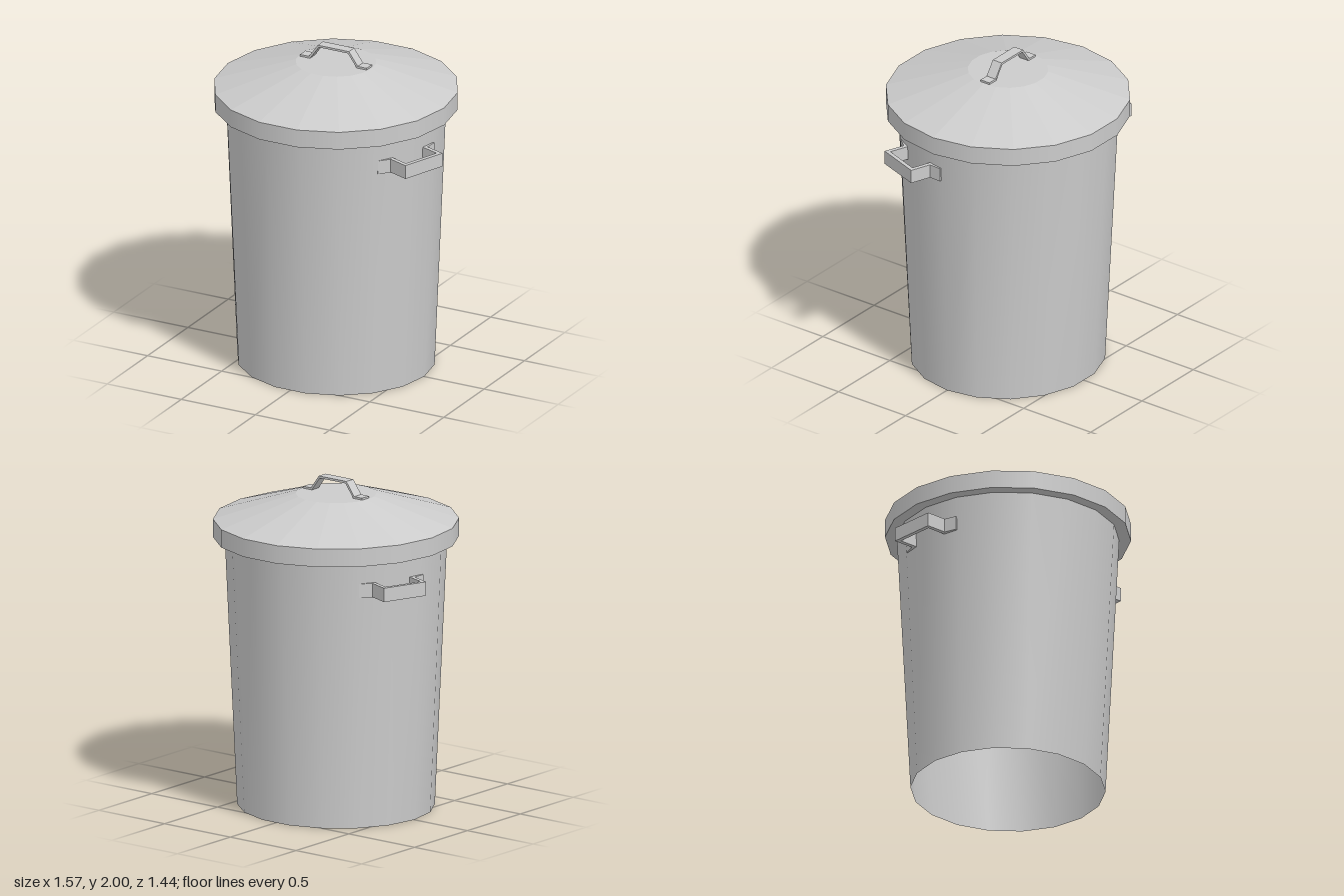
import * as THREE from 'three';

const SIDES = 18;
const grey = new THREE.MeshStandardMaterial({ color: 0xcccccc, side: THREE.DoubleSide });
const greyFlat = new THREE.MeshStandardMaterial({ color: 0xcccccc, flatShading: true });

function part(name, geometry, material, parent) {
  const mesh = new THREE.Mesh(geometry, material);
  mesh.name = name;
  parent.add(mesh);
  return mesh;
}

// Ring of SIDES panels between two heights, with a corner on the x axis
function drum(rTop, rBottom, yBottom, yTop, open) {
  const g = new THREE.CylinderGeometry(rTop, rBottom, yTop - yBottom, SIDES, 1, open, Math.PI / 2);
  return g.translate(0, (yTop + yBottom) / 2, 0);
}

// Bent metal strip: outer edge given as points, thickened to its right, then extruded
function strap(coords, thickness, width) {
  const pts = coords.map(([x, y]) => new THREE.Vector2(x, y));
  const normal = (a, b) => {
    const d = b.clone().sub(a).normalize();
    return new THREE.Vector2(d.y, -d.x);
  };
  const inner = pts.map((p, i) => {
    const n1 = normal(pts[Math.max(i - 1, 0)], pts[Math.max(i, 1)]);
    const last = pts.length - 1;
    const n2 = normal(pts[Math.min(i, last - 1)], pts[Math.min(i + 1, last)]);
    const miter = n1.clone().add(n2).multiplyScalar(thickness / (1 + n1.dot(n2)));
    return p.clone().add(miter);
  });
  const shape = new THREE.Shape([...pts, ...inner.reverse()]);
  return new THREE.ExtrudeGeometry(shape, { depth: width, bevelEnabled: false });
}

export function createModel() {
  const model = new THREE.Group();
  model.name = 'dustbin';

  // Tapered body, open underneath, slightly oval at the foot
  const body = drum(0.66, 0.595, 0, 1.64, true);
  const pos = body.attributes.position;
  for (let i = 0; i < pos.count; i++) {
    if (pos.getY(i) < 0.5) pos.setZ(i, pos.getZ(i) * 0.965);
  }
  body.computeVertexNormals();
  // Match the normals across the seam
  const nor = body.attributes.normal;
  for (const row of [0, SIDES + 1]) {
    nor.setXYZ(row, 1, -0.04, 0);
    nor.setXYZ(row + SIDES, 1, -0.04, 0);
  }
  part('body', body, grey, model);

  // Lid: faceted cone with a flat top, upright rim and flat underside
  const lid = new THREE.Group();
  lid.name = 'lid';
  model.add(lid);
  part('lidTop', drum(0.24, 0.73, 1.75, 1.905, false), greyFlat, lid);
  part('lidRim', drum(0.73, 0.73, 1.64, 1.75, true), grey, lid);
  const under = new THREE.CircleGeometry(0.73, SIDES).rotateX(Math.PI / 2).translate(0, 1.64, 0);
  part('lidUnderside', under, grey, lid);

  // Lid handle with a foot at each end
  const lidHandle = strap([
    [-0.225, 1.917], [-0.165, 1.917], [-0.105, 2],
    [0.105, 2], [0.165, 1.917], [0.225, 1.917],
  ], 0.013, 0.066).translate(0, 0, -0.033);
  part('lidHandle', lidHandle, greyFlat, lid);

  // Carrying handles, their feet lying against the body
  const sideHandle = strap([
    [0.508, -0.412], [0.56, -0.35], [0.685, -0.397],
    [0.785, -0.122], [0.66, -0.077], [0.665, 0],
  ], -0.025, 0.085).rotateX(-Math.PI / 2).translate(0, 1.43, 0);
  ['leftHandle', 'rightHandle'].forEach((name, i) => {
    part(name, sideHandle, greyFlat, model).rotation.y = i * Math.PI;
  });

  return model;
}
